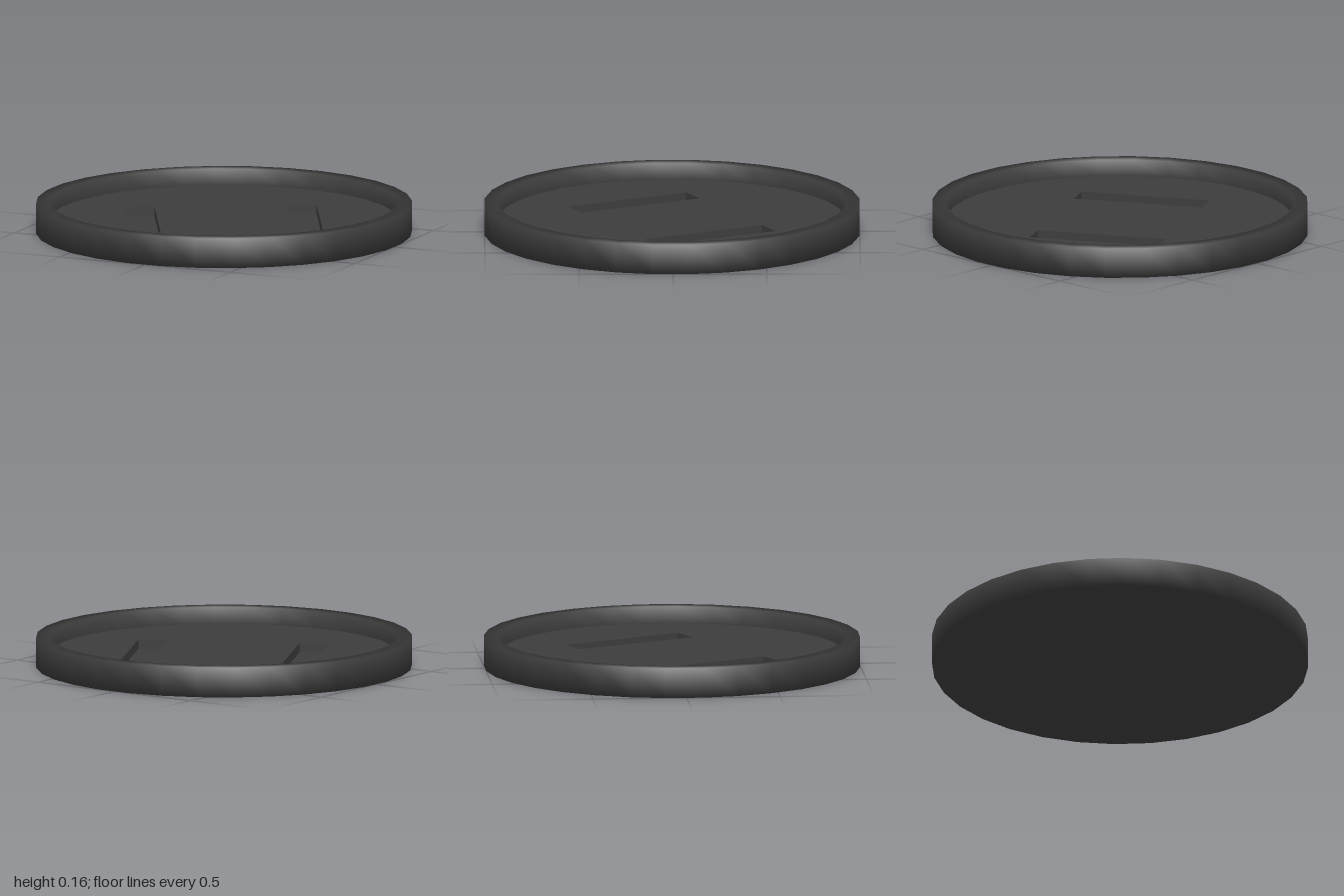
import * as THREE from 'three';

const SIDES = 32;
const START = THREE.MathUtils.degToRad(-6.2);
const TILT = THREE.MathUtils.degToRad(27.6);
const R = 1.003, INNER = 0.925, HEIGHT = 0.16, FLOOR = 0.07;
const SLOT = { width: 0.157, length: 0.71, depth: 0.05, offset: 0.433 };

// Open-topped box seen from the inside
function pocketGeometry(w, h, d) {
  const geo = new THREE.BoxGeometry(w, h, d);
  const index = [...geo.index.array];
  index.splice(12, 6); // drop the lid
  geo.setIndex(index.reverse());
  geo.computeVertexNormals();
  return geo;
}

export function createModel() {
  const group = new THREE.Group();
  const material = new THREE.MeshStandardMaterial({ color: 0x3c3c3c });
  const add = (name, geo) => {
    const mesh = new THREE.Mesh(geo, material);
    mesh.name = name;
    group.add(mesh);
    return mesh;
  };

  // Underside, outer wall, rim and inner wall in one soft-shaded profile
  const profile = [[0, 0], [R, 0], [R, HEIGHT], [INNER, HEIGHT], [INNER, FLOOR]]
    .map(([x, y]) => new THREE.Vector2(x, y));
  add('rimAndBase', new THREE.LatheGeometry(profile, SIDES, START));

  // Recessed floor with two slot openings
  const outline = [];
  for (let i = 0; i < SIDES; i++) {
    const a = START + (i / SIDES) * Math.PI * 2;
    outline.push(new THREE.Vector2(Math.sin(a) * INNER, -Math.cos(a) * INNER));
  }
  const floor = new THREE.Shape(outline);
  const origin = new THREE.Vector2();
  for (const side of [-1, 1]) {
    const hole = [[-1, -1], [-1, 1], [1, 1], [1, -1]].map(([u, v]) =>
      new THREE.Vector2(side * SLOT.offset + u * SLOT.width / 2, v * SLOT.length / 2)
        .rotateAround(origin, TILT));
    floor.holes.push(new THREE.Path(hole));
  }
  add('floor', new THREE.ShapeGeometry(floor).rotateX(-Math.PI / 2).translate(0, FLOOR, 0));

  // Slots sunk into the floor
  for (const side of [-1, 1]) {
    const geo = pocketGeometry(SLOT.width, SLOT.depth, SLOT.length);
    geo.translate(side * SLOT.offset, FLOOR - SLOT.depth / 2, 0).rotateY(TILT);
    add(side > 0 ? 'leftSlot' : 'rightSlot', geo);
  }

  return group;
}
